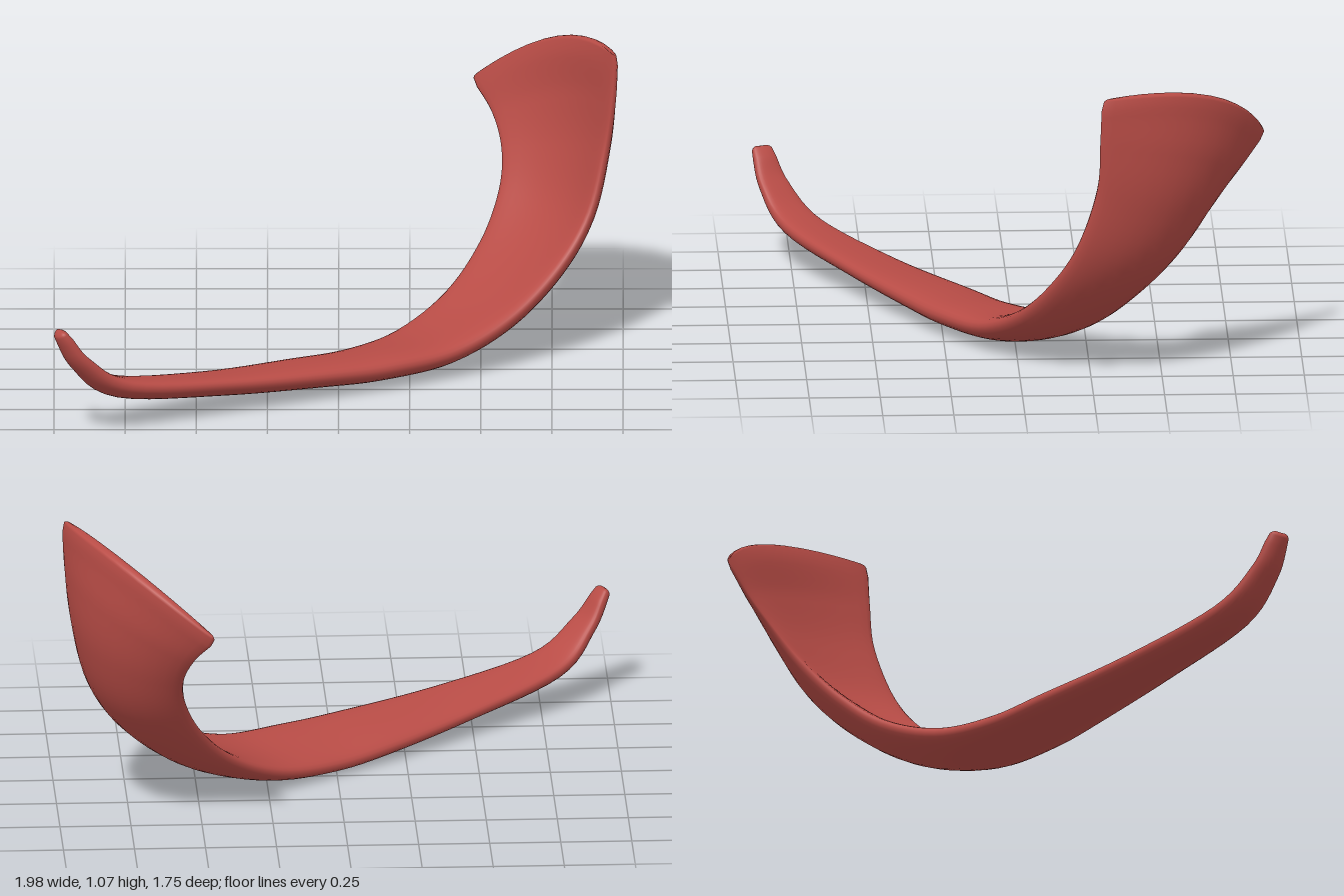
import * as THREE from 'three';

// Stations from narrow tip to flared end:
// back edge xyz, front edge xyz, [cup depth, back thickness, front thickness]
const STATIONS = [
  [[-0.985, 0.38, 0.805], [-0.95, 0.38, 0.88], [0.005, 0.05, 0.05]],
  [[-0.935, 0.275, 0.755], [-0.87, 0.28, 0.855], [0.01, 0.06, 0.06]],
  [[-0.82, 0.16, 0.64], [-0.72, 0.175, 0.78], [0.01, 0.075, 0.075]],
  [[-0.5, 0.095, 0.38], [-0.36, 0.125, 0.58], [0.01, 0.08, 0.08]],
  [[-0.2, 0.06, 0.13], [0, 0.1, 0.385], [0.005, 0.095, 0.1]],
  [[0, 0.05, -0.02], [0.2, 0.095, 0.275], [0.005, 0.1, 0.11]],
  [[0.2, 0.085, -0.18], [0.42, 0.11, 0.135], [0.015, 0.1, 0.11]],
  [[0.38, 0.19, -0.34], [0.62, 0.2, 0.005], [0.035, 0.1, 0.11]],
  [[0.5, 0.335, -0.475], [0.785, 0.35, -0.11], [0.055, 0.1, 0.11]],
  [[0.565, 0.485, -0.595], [0.89, 0.52, -0.2], [0.075, 0.1, 0.1]],
  [[0.575, 0.61, -0.69], [0.945, 0.74, -0.265], [0.08, 0.085, 0.09]],
  [[0.54, 0.72, -0.785], [0.97, 0.92, -0.275], [0.085, 0.065, 0.075]],
  [[0.475, 0.81, -0.865], [0.98, 1.06, -0.28], [0.09, 0.05, 0.06]],
];

const curveOf = (k) => new THREE.CatmullRomCurve3(
  STATIONS.map((s) => new THREE.Vector3(...s[k])), false, 'catmullrom', 0.5);

function hornGeometry(steps = 72, sides = 32) {
  const [back, front, shape] = [0, 1, 2].map(curveOf);

  // Rings along the length, with extra shrinking rings that round off both ends
  const rings = [];
  const dome = [0, 0.3, 0.6, 0.85];
  for (const c of dome) rings.push({ u: 0, c, d: -1 });
  for (let i = 1; i < steps; i++) rings.push({ u: i / steps, c: 1, d: 0 });
  for (const c of [...dome].reverse()) rings.push({ u: 1, c, d: 1 });

  const positions = [], index = [];
  for (const { u, c, d } of rings) {
    const e1 = back.getPoint(u), e2 = front.getPoint(u), f = shape.getPoint(u);
    const half = e2.clone().sub(e1).multiplyScalar(0.5);
    const mid = e1.clone().add(e2).multiplyScalar(0.5);
    const along = back.getTangent(u).add(front.getTangent(u)).normalize();
    const out = along.clone().cross(half).normalize();
    const push = d * Math.sqrt(1 - c * c) * 0.027;
    const widen = 1 - (1 - c) * 0.025 / half.length();
    // The wide rim bows forward along the length
    const bow = 0.09 * Math.pow(Math.max(0, (u - 0.7) / 0.3), 1.5);
    for (let j = 0; j < sides; j++) {
      const a = (j / sides) * Math.PI * 2;
      const s = Math.cos(a), sn = Math.sin(a);
      const thick = THREE.MathUtils.lerp(f.y, f.z, (s + 1) / 2);
      const h = Math.sign(sn) * Math.pow(Math.abs(sn), 0.85) * thick * 0.5 * c;
      const arch = 1 - s * s;
      const p = mid.clone()
        .addScaledVector(half, s * widen)
        .addScaledVector(out, f.x * arch + h)
        .addScaledVector(along, bow * arch + push);
      positions.push(p.x, p.y, p.z);
    }
  }
  for (let i = 0; i < rings.length - 1; i++) {
    for (let j = 0; j < sides; j++) {
      const k = (j + 1) % sides;
      const a = i * sides + j, b = i * sides + k;
      index.push(a, b, a + sides, b, b + sides, a + sides);
    }
  }
  const geometry = new THREE.BufferGeometry();
  geometry.setAttribute('position', new THREE.Float32BufferAttribute(positions, 3));
  geometry.setIndex(index);
  geometry.computeVertexNormals();
  return geometry;
}

export function createModel() {
  const red = new THREE.MeshStandardMaterial({ color: 0xb84c46 });
  red.name = 'muted red';

  // Curved, cupped blade that flares upward at one end
  const blade = new THREE.Mesh(hornGeometry(), red);
  blade.name = 'curvedBlade';

  const group = new THREE.Group();
  group.name = 'curvedHornBlade';
  group.add(blade);
  return group;
}
